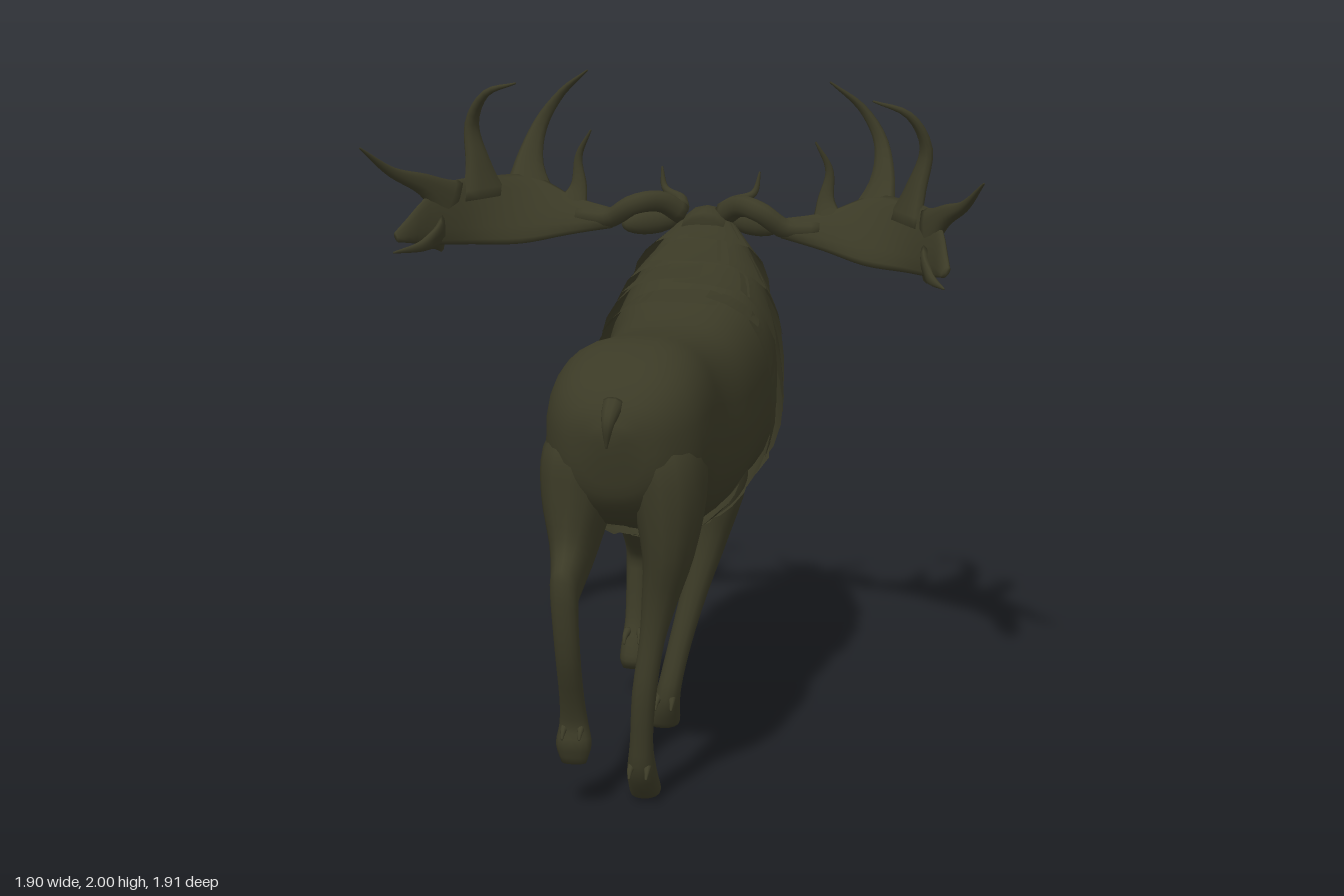
import * as THREE from 'three';

const V = (x, y, z) => new THREE.Vector3(x, y, z);
const hide = new THREE.MeshStandardMaterial({ color: 0x3b3a26, side: THREE.DoubleSide });
hide.name = 'dark olive hide';

let seed = 7;
const rand = () => (seed = (seed * 16807) % 2147483647) / 2147483647;

function add(parent, name, geometry) {
  const mesh = new THREE.Mesh(geometry, hide);
  mesh.name = name;
  parent.add(mesh);
  return mesh;
}

function surface(pos, idx) {
  const g = new THREE.BufferGeometry();
  g.setAttribute('position', new THREE.Float32BufferAttribute(pos, 3));
  g.setIndex(idx);
  g.computeVertexNormals();
  return g;
}

// point on a ring with centre c and half-axes A, B; exponent e under 1 squares its upper half off
function onRing({ c, A, B, e = 0.9 }, t, k = 1) {
  const power = Math.cos(t) > 0 ? e : 0.9;
  const f = v => Math.sign(v) * Math.abs(v) ** power * k;
  return c.clone().addScaledVector(A, f(Math.cos(t))).addScaledVector(B, f(Math.sin(t)));
}

// closed skin over a row of rings, capped at both ends
function loft(rings, n = 16) {
  const pos = [], idx = [], m = rings.length, h = m >> 1;
  const dir = rings[h + 1].c.clone().sub(rings[h - 1].c);
  const flip = rings[h].A.clone().cross(rings[h].B).dot(dir) < 0;
  const tri = (a, b, c) => (flip ? idx.push(a, c, b) : idx.push(a, b, c));
  rings.forEach(r => {
    for (let j = 0; j < n; j++) pos.push(...onRing(r, (j / n) * Math.PI * 2).toArray());
  });
  pos.push(...rings[0].c.toArray(), ...rings[m - 1].c.toArray());
  for (let j = 0; j < n; j++) {
    const k = (j + 1) % n;
    for (let i = 0; i < m - 1; i++) {
      const a = i * n + j, b = i * n + k;
      tri(a, b, a + n);
      tri(b, b + n, a + n);
    }
    tri(m * n, k, j);
    tri(m * n + 1, (m - 1) * n + j, (m - 1) * n + k);
  }
  return surface(pos, idx);
}

// rows of [z1, y1, z2, y2, centre x, half width]: returns a function giving the ring at 0..1
function profile(rows, e) {
  const curve = f => new THREE.CatmullRomCurve3(rows.map(f), false, 'catmullrom', 0.5);
  const p = curve(r => V(r[4], r[1], r[0])), q = curve(r => V(r[4], r[3], r[2]));
  const w = curve(r => V(r[5], 0, 0));
  return t => {
    const a = p.getPoint(t), b = q.getPoint(t);
    return { c: a.clone().add(b).multiplyScalar(0.5), A: a.clone().sub(b).multiplyScalar(0.5), B: w.getPoint(t), e };
  };
}
const sampled = (ringAt, steps) => Array.from({ length: steps + 1 }, (_, i) => ringAt(i / steps));

// tapering horn along a curve; with a wide direction its root spreads into a flat web
function horn(points, r0, r1 = 0.003, wide = null) {
  const steps = 16, curve = new THREE.CatmullRomCurve3(points);
  const fr = curve.computeFrenetFrames(steps);
  return loft(fr.tangents.map((tan, i) => {
    const u = i / steps, r = r0 + (r1 - r0) * u ** 1.2;
    const A = wide ? wide.clone().addScaledVector(tan, -wide.dot(tan)).normalize() : fr.normals[i].clone();
    const B = tan.clone().cross(A).multiplyScalar(wide ? r * (0.6 + 0.4 * u) : r);
    return { c: curve.getPointAt(u), A: A.multiplyScalar(wide ? r * (1 + 1.7 * (1 - u) ** 4) : r), B };
  }), 10);
}

// ragged overlapping hair plates wrapped round the torso
function hairTier(ringAt, t0, t1, a0, a1, count, flare) {
  const pos = [], idx = [];
  for (let k = 0; k < count; k++) {
    const base = pos.length / 3, step = (a1 - a0) / count;
    const s = a0 + step * (k - 0.12), e = a0 + step * (k + 1.12);
    const reach = 0.9 + rand() * 0.35, lift = flare + rand() * 0.05, skew = (rand() - 0.5) * 0.4;
    for (let i = 0; i < 4; i++) {
      for (let j = 0; j < 4; j++) {
        const u = i / 3;
        const len = reach + (j === 1 || j === 2 ? 0.1 : 0) + skew * (j / 3 - 0.5);
        const t = t0 + (t1 - t0) * u * len;
        pos.push(...onRing(ringAt(t), s + ((e - s) * j) / 3, 1.005 + lift * u).toArray());
        if (i < 3 && j < 3) {
          const a = base + i * 4 + j;
          idx.push(a, a + 1, a + 4, a + 1, a + 5, a + 4);
        }
      }
    }
  }
  return surface(pos, idx);
}

export function createModel() {
  const model = new THREE.Group();
  model.name = 'antleredStag';

  // torso and neck, from throat to rump
  const torso = profile([
    [-0.58, 1.53, -0.71, 1.22, 0.04, 0.13], [-0.45, 1.47, -0.67, 1.02, 0.04, 0.20],
    [-0.28, 1.41, -0.58, 0.84, 0.045, 0.245], [-0.12, 1.35, -0.41, 0.69, 0.045, 0.265],
    [0.02, 1.31, -0.16, 0.69, 0.045, 0.25], [0.20, 1.28, 0.15, 0.68, 0.035, 0.24],
    [0.40, 1.29, 0.40, 0.71, 0.02, 0.215], [0.60, 1.30, 0.58, 0.77, 0, 0.23],
    [0.76, 1.25, 0.72, 0.80, -0.005, 0.21], [0.85, 1.17, 0.83, 0.88, -0.01, 0.14],
    [0.885, 1.09, 0.87, 1.0, -0.01, 0.04],
  ], 0.74);
  add(model, 'torso', loft(sampled(torso, 40), 32));
  add(model, 'tail', horn([V(-0.01, 1.16, 0.84), V(-0.015, 1.12, 0.895), V(-0.02, 1.05, 0.895)], 0.03));

  // mane in overlapping tiers, rear tiers first
  const mane = new THREE.Group();
  mane.name = 'mane';
  model.add(mane);
  for (let i = 3; i >= 0; i--) {
    const turn = (i % 2) * 0.25;
    add(mane, 'maneTier', hairTier(torso, i * 0.1, (i + 1) * 0.1, turn, turn + Math.PI * 2, 11, 0.07));
  }
  // shaggy belly hair
  for (let i = 0; i < 3; i++) {
    add(model, 'bellyHair', hairTier(torso, 0.36 + i * 0.085, 0.47 + i * 0.085, Math.PI * 0.75, Math.PI * 1.25, 4, 0.07));
  }

  // head
  const head = profile([
    [-0.50, 1.53, -0.62, 1.28, 0.04, 0.10], [-0.64, 1.56, -0.72, 1.26, 0.04, 0.105],
    [-0.74, 1.51, -0.78, 1.25, 0.04, 0.088], [-0.82, 1.42, -0.83, 1.23, 0.04, 0.068],
    [-0.89, 1.36, -0.87, 1.22, 0.037, 0.064], [-0.94, 1.335, -0.915, 1.235, 0.035, 0.055],
    [-0.955, 1.31, -0.945, 1.265, 0.035, 0.03],
  ]);
  add(model, 'head', loft(sampled(head, 18), 18));
  add(model, 'chinTuft', horn([V(0.037, 1.27, -0.85), V(0.037, 1.23, -0.85), V(0.037, 1.18, -0.83)], 0.05, 0.012));
  for (const s of [1, -1]) {
    const eye = add(model, 'eye', new THREE.SphereGeometry(0.016, 12, 8));
    eye.position.set(0.04 + s * 0.084, 1.45, -0.735);
    const ear = add(model, 'ear', new THREE.SphereGeometry(1, 14, 10));
    ear.scale.set(0.1, 0.042, 0.03);
    ear.position.set(0.025 + s * 0.17, 1.505, -0.625);
    ear.rotation.set(0, -s * 0.35, -s * 0.1);
  }

  // antlers: beam, palm and tines, slightly tilted as a pair
  const antlers = new THREE.Group();
  antlers.name = 'antlers';
  antlers.position.set(0.02, 1.5, -0.55);
  antlers.rotation.set(0, -0.05, -0.04);
  model.add(antlers);
  const lower = [[0.28, 1.48, -0.52], [0.42, 1.45, -0.5], [0.56, 1.42, -0.43], [0.7, 1.42, -0.33], [0.79, 1.43, -0.18], [0.84, 1.45, -0.03]];
  const upper = [[0.28, 1.54, -0.55], [0.42, 1.57, -0.57], [0.56, 1.63, -0.57], [0.69, 1.63, -0.45], [0.79, 1.61, -0.29], [0.86, 1.48, -0.04]];
  // name, root radius, place along the palm, path
  const tines = [
    ['outerTine', 0.036, 0.8, [[0.76, 1.54, -0.32], [0.82, 1.61, -0.22], [0.89, 1.66, -0.09], [0.95, 1.74, 0.04]]],
    ['rearTine', 0.038, 0.65, [[0.68, 1.56, -0.42], [0.71, 1.67, -0.43], [0.735, 1.8, -0.43], [0.68, 1.9, -0.39], [0.57, 1.94, -0.35]]],
    ['frontTine', 0.038, 0.4, [[0.56, 1.56, -0.53], [0.585, 1.68, -0.61], [0.565, 1.8, -0.67], [0.5, 1.9, -0.67], [0.4, 1.98, -0.61]]],
    ['innerTine', 0.027, 0.2, [[0.43, 1.52, -0.54], [0.41, 1.6, -0.58], [0.415, 1.7, -0.59], [0.37, 1.79, -0.56]]],
    ['lowerPoint', 0.024, 0.85, [[0.77, 1.46, -0.24], [0.8, 1.43, -0.13], [0.85, 1.42, 0]]],
  ];
  const beam = [[0.07, 1.53, -0.62], [0.13, 1.57, -0.57], [0.21, 1.56, -0.51], [0.29, 1.51, -0.53], [0.4, 1.51, -0.54]];
  const brow = [[0.07, 1.55, -0.62], [0.09, 1.57, -0.69], [0.15, 1.6, -0.73], [0.165, 1.67, -0.74]];
  for (const s of [1, -1]) {
    const at = p => V(p[0] * s, p[1] - 1.5, p[2] + 0.55);
    const lo = new THREE.CatmullRomCurve3(lower.map(at)), hi = new THREE.CatmullRomCurve3(upper.map(at));
    const rings = [];
    for (let i = 0; i <= 20; i++) {
      const a = hi.getPoint(i / 20), b = lo.getPoint(i / 20);
      const A = a.clone().sub(b).multiplyScalar(0.5);
      const B = A.clone().cross(lo.getTangent(i / 20)).setLength(0.026 - 0.016 * (i / 20));
      rings.push({ c: a.add(b).multiplyScalar(0.5), A, B });
    }
    add(antlers, 'palm', loft(rings, 12));
    add(antlers, 'beam', horn(beam.map(at), 0.036, 0.03));
    add(antlers, 'browTine', horn(brow.map(at), 0.026));
    for (const [name, r, u, pts] of tines) add(antlers, name, horn(pts.map(at), r, 0.003, hi.getTangent(u)));
  }

  // legs: rows of [front z, y, back z, y, centre x, half width]
  const legs = {
    hindLeftLeg: [
      [0.52, 1.12, 0.76, 1.12, 0.06, 0.09], [0.48, 1.0, 0.84, 1.02, 0.1, 0.11], [0.53, 0.86, 0.85, 0.89, 0.12, 0.1],
      [0.60, 0.70, 0.83, 0.73, 0.12, 0.07], [0.67, 0.58, 0.80, 0.61, 0.1, 0.05],
      [0.72, 0.47, 0.79, 0.49, 0.08, 0.035], [0.725, 0.33, 0.80, 0.34, 0.06, 0.034],
      [0.72, 0.2, 0.785, 0.19, 0.05, 0.032], [0.67, 0.11, 0.77, 0.09, 0.045, 0.04],
      [0.61, 0.03, 0.71, 0.01, 0.045, 0.044], [0.60, 0.005, 0.69, 0, 0.045, 0.04]],
    hindRightLeg: [
      [0.52, 1.12, 0.76, 1.12, -0.08, 0.09], [0.48, 1.0, 0.84, 1.02, -0.12, 0.115], [0.55, 0.85, 0.85, 0.9, -0.135, 0.1],
      [0.63, 0.69, 0.86, 0.79, -0.14, 0.065], [0.79, 0.61, 0.89, 0.74, -0.14, 0.045],
      [0.87, 0.58, 0.95, 0.69, -0.135, 0.038], [0.86, 0.48, 0.93, 0.48, -0.13, 0.034],
      [0.81, 0.34, 0.87, 0.33, -0.13, 0.034], [0.785, 0.26, 0.845, 0.25, -0.13, 0.04],
      [0.78, 0.19, 0.855, 0.2, -0.13, 0.05], [0.795, 0.14, 0.835, 0.14, -0.13, 0.035]],
    foreLeftLeg: [
      [-0.24, 1.0, 0.03, 1.0, 0.15, 0.08], [-0.18, 0.78, 0.05, 0.76, 0.17, 0.075],
      [-0.11, 0.6, 0.03, 0.6, 0.14, 0.055], [-0.05, 0.42, 0.05, 0.42, 0.09, 0.042],
      [0.0, 0.26, 0.085, 0.26, 0.05, 0.036], [0.02, 0.13, 0.12, 0.11, 0.02, 0.038],
      [-0.03, 0.03, 0.09, 0.02, 0, 0.05], [-0.04, 0.005, 0.07, 0, 0, 0.046]],
    foreRightLeg: [
      [-0.26, 0.98, 0.02, 0.96, -0.1, 0.09], [-0.25, 0.73, -0.05, 0.68, -0.12, 0.075],
      [-0.30, 0.61, -0.17, 0.56, -0.13, 0.055], [-0.385, 0.5, -0.295, 0.46, -0.14, 0.042],
      [-0.375, 0.38, -0.30, 0.38, -0.145, 0.036], [-0.33, 0.25, -0.275, 0.25, -0.145, 0.034],
      [-0.325, 0.2, -0.24, 0.18, -0.145, 0.04], [-0.305, 0.13, -0.22, 0.12, -0.145, 0.045],
      [-0.28, 0.09, -0.24, 0.09, -0.145, 0.035]],
  };
  for (const [name, rows] of Object.entries(legs)) add(model, name, loft(sampled(profile(rows), (rows.length - 1) * 3), 14));

  // dewclaws behind the hooves
  for (const [x, y, z] of [[0.045, 0.11, 0.76], [-0.13, 0.24, 0.83], [0.015, 0.1, 0.11], [-0.145, 0.2, -0.25]]) {
    for (const s of [1, -1]) {
      add(model, 'dewclaw', horn([V(x + s * 0.02, y + 0.01, z - 0.02), V(x + s * 0.024, y, z + 0.015), V(x + s * 0.024, y - 0.02, z + 0.035)], 0.014));
    }
  }
  return model;
}
